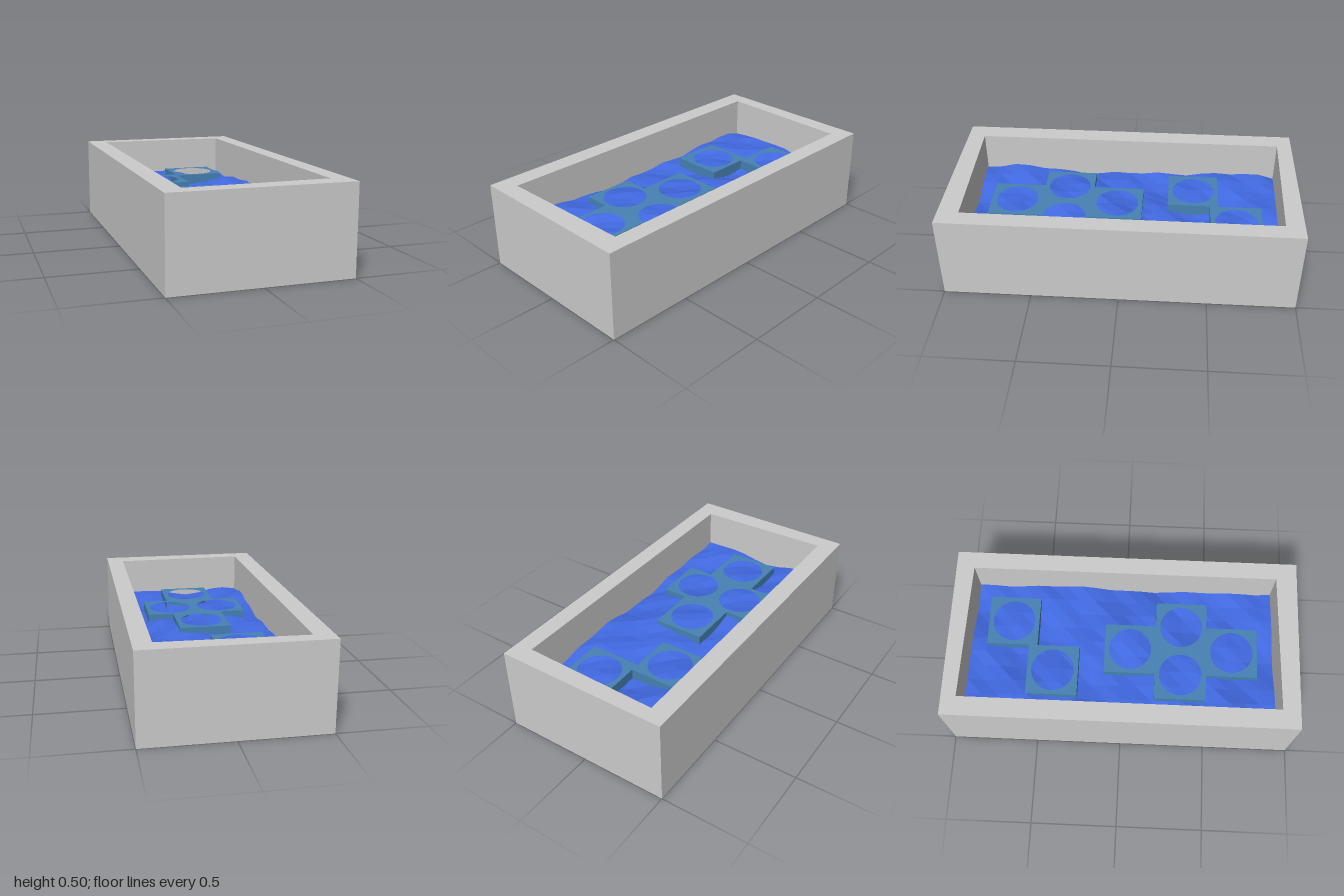
import * as THREE from 'three';

// Plan outline given as [x, z] pairs
const outline = (pts, Type = THREE.Shape) =>
  new Type(pts.map(([x, z]) => new THREE.Vector2(x, -z)));

// Extrude a plan outline upwards from y0 to y1
function slab(name, shape, y0, y1, material) {
  const geo = new THREE.ExtrudeGeometry(shape, { depth: y1 - y0, bevelEnabled: false, curveSegments: 32 });
  geo.rotateX(-Math.PI / 2).translate(0, y0, 0);
  const mesh = new THREE.Mesh(geo, material);
  mesh.name = name;
  return mesh;
}

export function createModel() {
  const group = new THREE.Group();
  const stone = new THREE.MeshStandardMaterial({ color: 0xcccccc });
  const water = new THREE.MeshStandardMaterial({ color: 0x4169e1, flatShading: true, side: THREE.DoubleSide });
  const float = new THREE.MeshStandardMaterial({ color: 0x4682b4 });

  // Trough: solid base and walls around a slightly skewed cavity
  const outer = [[-0.5, 1], [0.5, 1], [0.5, -1], [-0.5, -1]];
  const cavity = [[-0.39, 0.9], [0.4, 0.88], [0.4, -0.895], [-0.39, -0.915]];
  const walls = outline(outer);
  walls.holes.push(outline(cavity, THREE.Path));
  group.add(slab('troughBase', outline(outer), 0, 0.1, stone));
  group.add(slab('troughWalls', walls, 0.1, 0.5, stone));

  // Water: faceted, rippled sheet fitted to the cavity
  const sheet = new THREE.PlaneGeometry(1, 1, 9, 20).rotateX(-Math.PI / 2);
  const pos = sheet.attributes.position;
  const { lerp } = THREE.MathUtils;
  for (let i = 0; i < pos.count; i++) {
    const u = pos.getX(i) + 0.5, v = pos.getZ(i) + 0.5;
    const x = lerp(-0.39, 0.4, u);
    const z = lerp(lerp(-0.915, -0.895, u), lerp(0.9, 0.88, u), v);
    const y = 0.268 + 0.014 * Math.sin(7 * x + 5 * z + 0.8)
      + 0.01 * Math.sin(13 * x - 9 * z) + 0.008 * Math.sin(21 * z + 17 * x);
    pos.setXYZ(i, x, y, z);
  }
  sheet.computeVertexNormals();
  const surface = new THREE.Mesh(sheet, water);
  surface.name = 'waterSurface';
  group.add(surface);

  // Floating holders: joined square cells, each with a round hole
  const holders = [
    {
      name: 'steppedHolder',
      edge: [[0, -0.81], [0.3, -0.81], [0.3, -0.51], [0, -0.51], [0, -0.26], [-0.3, -0.26], [-0.3, -0.56], [0, -0.56]],
      holes: [[0.15, -0.66], [-0.15, -0.41]],
    },
    {
      name: 'crossHolder',
      edge: [[-0.15, -0.11], [0.15, -0.11], [0.15, 0.19], [0.3, 0.19], [0.3, 0.49], [0.15, 0.49],
        [0.15, 0.79], [-0.15, 0.79], [-0.15, 0.49], [-0.3, 0.49], [-0.3, 0.19], [-0.15, 0.19]],
      holes: [[0, 0.04], [-0.15, 0.34], [0.15, 0.34], [0, 0.64]],
    },
  ];
  // The stepped holder's cells meet along a short edge, so it is built as one ring without doubling back
  holders[0].edge = [[0, -0.81], [0.3, -0.81], [0.3, -0.51], [0, -0.51], [0, -0.26], [-0.3, -0.26], [-0.3, -0.56], [0, -0.56]];
  for (const { name, edge, holes } of holders) {
    const shape = outline(edge);
    for (const [x, z] of holes) {
      shape.holes.push(new THREE.Path().absarc(x, -z, 0.125, 0, Math.PI * 2, true));
    }
    group.add(slab(name, shape, 0.21, 0.312, float));
  }

  return group;
}
